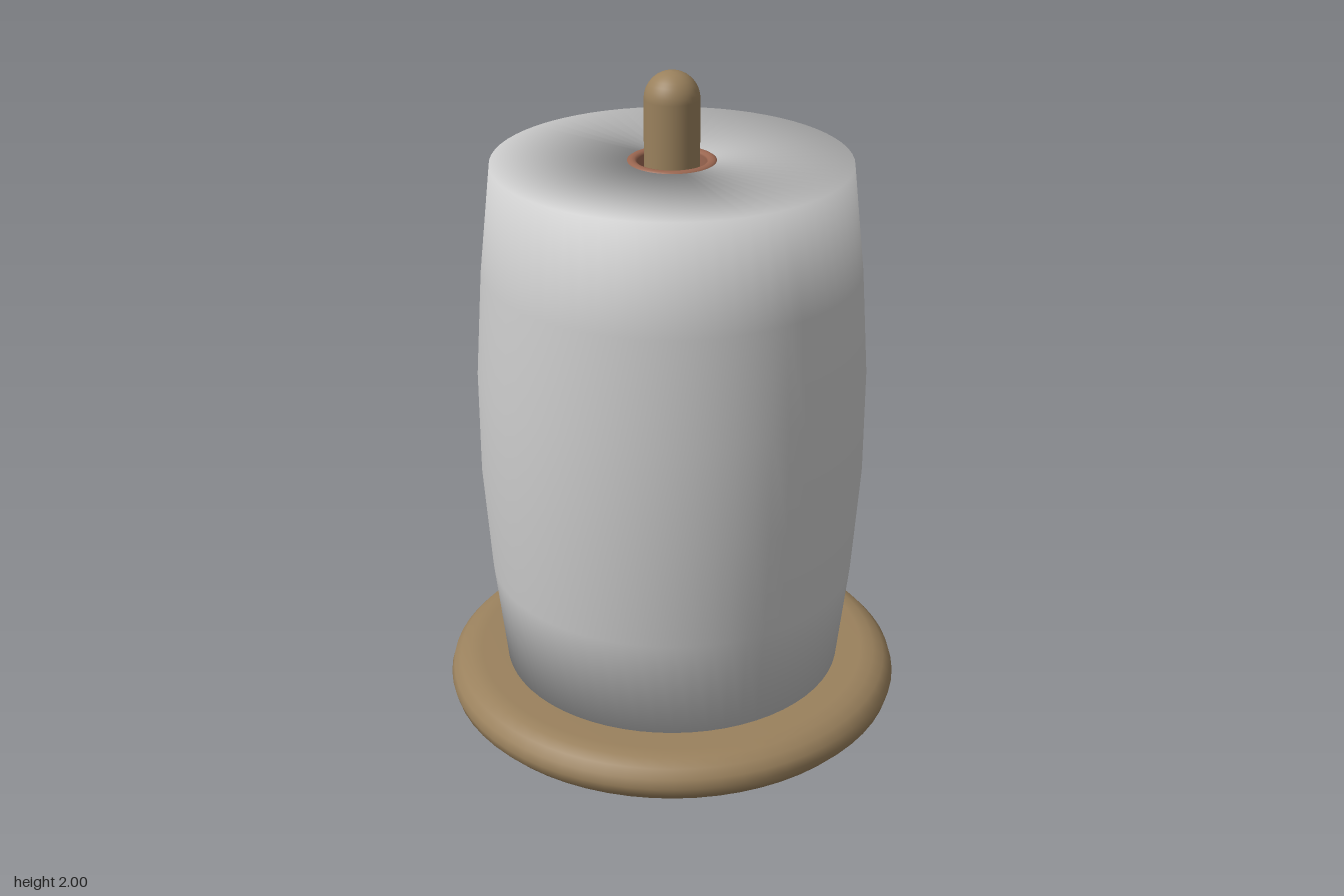
import * as THREE from 'three';

const SEGMENTS = 64;
const wood = new THREE.MeshStandardMaterial({ color: 0x9a815d });
const paper = new THREE.MeshStandardMaterial({ color: 0xcccccc });
const card = new THREE.MeshStandardMaterial({ color: 0x9a6650 });

// Turned part from a list of [radius, height] points, running up the outside
function turned(name, profile, material) {
  const points = profile.map(([r, y]) => new THREE.Vector2(r, y));
  const mesh = new THREE.Mesh(new THREE.LatheGeometry(points, SEGMENTS), material);
  mesh.name = name;
  return mesh;
}

// Points along an elliptical arc in the profile plane
function arc(r, y, rx, ry, from, to, steps) {
  return Array.from({ length: steps + 1 }, (_, i) => {
    const a = from + ((to - from) * i) / steps;
    return [Math.max(0, r + rx * Math.cos(a)), y + ry * Math.sin(a)];
  });
}

export function createModel() {
  const model = new THREE.Group();
  model.name = 'paperRollHolder';
  const bottom = 0.145, top = 1.74, quarter = Math.PI / 2;

  // Round base with a rolled edge
  model.add(turned('base', [
    [0, 0], [0.3, 0],
    ...arc(0.6, bottom / 2, 0.1, bottom / 2, -quarter, quarter, 8),
    [0.3, bottom], [0, bottom],
  ], wood));

  // Upright dowel with a domed tip
  model.add(turned('dowel', [
    [0.08, bottom - 0.02],
    ...arc(0, 1.92, 0.08, 0.08, 0, quarter, 8),
  ], wood));

  // Slightly barrel-shaped paper roll with a hole through it
  const side = Array.from({ length: 6 }, (_, i) => {
    const t = i / 5;
    return [0.52 + 0.06 * Math.sin(Math.PI * t), bottom + (top - bottom) * t];
  });
  model.add(turned('paperRoll', [
    [0.125, bottom], ...side, [0.125, top], [0.125, bottom],
  ], paper));

  // Cardboard core lining the hole
  model.add(turned('cardboardCore', [
    [0.1, bottom], [0.13, bottom], [0.13, top - 0.005],
    ...arc(0.115, top - 0.005, 0.015, 0.01, 0, Math.PI, 6),
    [0.1, bottom],
  ], card));

  return model;
}
